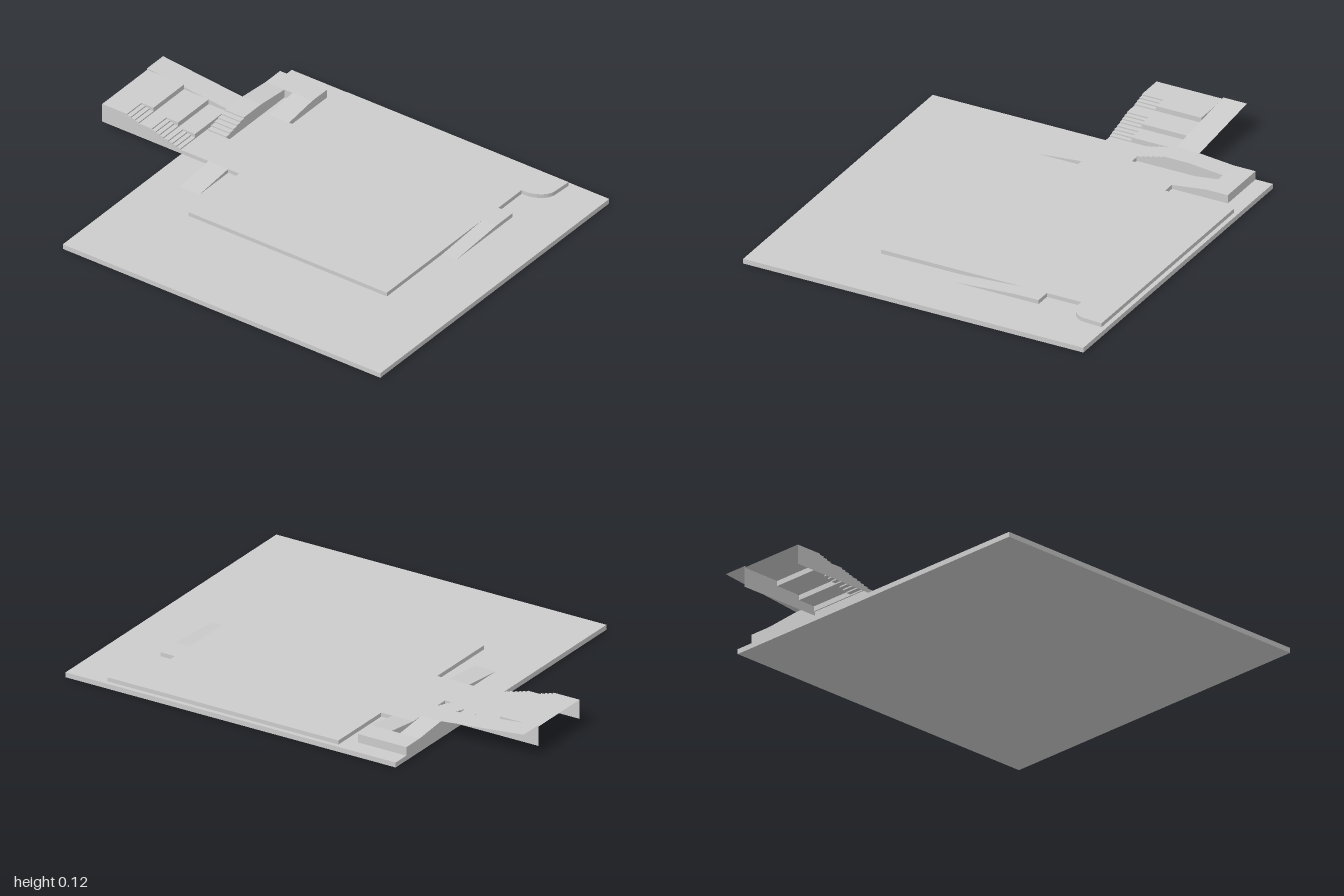
import * as THREE from 'three';

const solid = new THREE.MeshStandardMaterial({ color: 0xcccccc });
const sheet = new THREE.MeshStandardMaterial({ color: 0xcccccc, side: THREE.DoubleSide });
const GROUND = 0.022, FLOOR = 0.04, LANDING = 0.06, UPPER = 0.075;

const toShape = (pts) => new THREE.Shape(pts.map(([a, b]) => new THREE.Vector2(a, b)));

export function createModel() {
  const model = new THREE.Group();
  const add = (name, geometry, material = solid) => {
    const mesh = new THREE.Mesh(geometry, material);
    mesh.name = name;
    model.add(mesh);
  };
  const box = (name, x0, x1, y0, y1, z0, z1) => add(name,
    new THREE.BoxGeometry(x1 - x0, y1 - y0, z1 - z0)
      .translate((x0 + x1) / 2, (y0 + y1) / 2, (z0 + z1) / 2));
  // solid with an x/y profile, running along z
  const prism = (name, pts, z0, z1) => add(name,
    new THREE.ExtrudeGeometry(toShape(pts), { depth: z1 - z0, bevelEnabled: false }).translate(0, 0, z0));
  // thin upright wall at one x, outlined in z/y
  const wall = (name, pts, x) => add(name,
    new THREE.ShapeGeometry(toShape(pts.map(([z, y]) => [-z, y]))).rotateY(Math.PI / 2).translate(x, 0, 0), sheet);
  // thin folded sheet: a z/y profile swept from x0 to x1
  const ribbon = (name, pts, x0, x1) => {
    const pos = [];
    for (let i = 0; i < pts.length - 1; i++) {
      const [za, ya] = pts[i], [zb, yb] = pts[i + 1];
      pos.push(x0, ya, za, x1, ya, za, x1, yb, zb, x0, ya, za, x1, yb, zb, x0, yb, zb);
    }
    const g = new THREE.BufferGeometry();
    g.setAttribute('position', new THREE.Float32BufferAttribute(pos, 3));
    g.computeVertexNormals();
    add(name, g, sheet);
  };

  // ground slab
  box('groundSlab', -0.79, 0.79, 0, GROUND, -0.6, 1);

  // main platform, drawn in x and -z, with a rounded front corner
  const s = toShape([[-0.32, -0.69], [0.45, -0.69], [0.61, -0.69], [0.61, -0.72]]);
  s.bezierCurveTo(0.62, -0.77, 0.65, -0.805, 0.69, -0.805);
  s.lineTo(0.77, -0.81);
  for (const [x, y] of [[0.77, 0.31], [0.45, 0.31], [0.45, 0.365], [0.03, 0.365], [0.03, 0.31], [-0.32, 0.31]]) s.lineTo(x, y);
  add('platform', new THREE.ExtrudeGeometry(s, { depth: FLOOR - GROUND, bevelEnabled: false, curveSegments: 10 })
    .rotateX(-Math.PI / 2).translate(0, GROUND, 0));

  // ramp along the front edge
  prism('frontRamp', [[0.06, GROUND], [0.45, GROUND], [0.45, FLOOR], [0.34, FLOOR]], 0.69, 0.76);

  // lower walk: ramp up to the neck, then on to the corner landing
  prism('lowerWalk', [[-0.17, GROUND], [0.71, GROUND], [0.71, LANDING], [0.61, LANDING],
    [0.45, FLOOR], [0.03, FLOOR]], -0.465, -0.365);

  // floor and landing at the two ends of the slot
  box('neckFloor', 0.03, 0.21, GROUND, FLOOR, -0.505, -0.465);
  box('cornerLanding', 0.61, 0.71, GROUND, LANDING, -0.505, -0.465);

  // upper walk: small steps, top landing and ramp down to the corner
  const upper = [[0.03, GROUND], [0.71, GROUND], [0.71, LANDING], [0.61, LANDING], [0.45, UPPER], [0.33, UPPER]];
  const n = 6;
  for (let i = n - 1; i >= 0; i--) {
    const x = 0.21 + 0.12 * i / (n - 1);
    const rise = (UPPER - FLOOR) / n;
    if (i < n - 1) upper.push([x + 0.12 / (n - 1), FLOOR + rise * (i + 1)]);
    upper.push([x, FLOOR + rise * (i + 1)]);
  }
  upper.push([0.21, FLOOR], [0.03, FLOOR]);
  prism('upperWalk', upper, -0.6, -0.505);

  // rear terraces with a flight of small steps beside each one
  const fronts = [-0.605, -0.69, -0.815];
  const rise = 0.0227, steps = 4, run = 0.06;
  const terrace = [[-0.6, FLOOR]], flight = [[-0.6, FLOOR]];
  fronts.forEach((z, k) => {
    const y0 = FLOOR + rise * k, y1 = y0 + rise;
    terrace.push([z, y0], [z, y1]);
    const cheek = [];
    for (let i = 0; i < steps; i++) {
      const zi = z - run * i / (steps - 1);
      cheek.push([zi, y0 + rise * i / steps], [zi, y0 + rise * (i + 1) / steps]);
    }
    flight.push(...cheek);
    wall('stepCheek', [...cheek.slice(1), [z, y1]], 0.13);
  });
  const top = FLOOR + rise * 3;
  terrace.push([-1, top]);
  flight.push([-1, top]);
  ribbon('terraces', terrace, 0.13, 0.34);
  ribbon('steps', flight, 0.03, 0.13);

  // thin sloping ramp beside the terraces, and the side walls
  ribbon('rearRamp', [[-0.6, UPPER], [-1, 0.115]], 0.34, 0.45);
  wall('outerWall', [[-0.6, GROUND], ...flight, [-1, GROUND]], 0.03);
  wall('rampWall', [[-0.6, GROUND], [-0.6, UPPER], [-0.815, 0.0965], [-0.815, top],
    [-0.93, top], [-1, 0.115], [-1, GROUND]], 0.34);

  return model;
}
